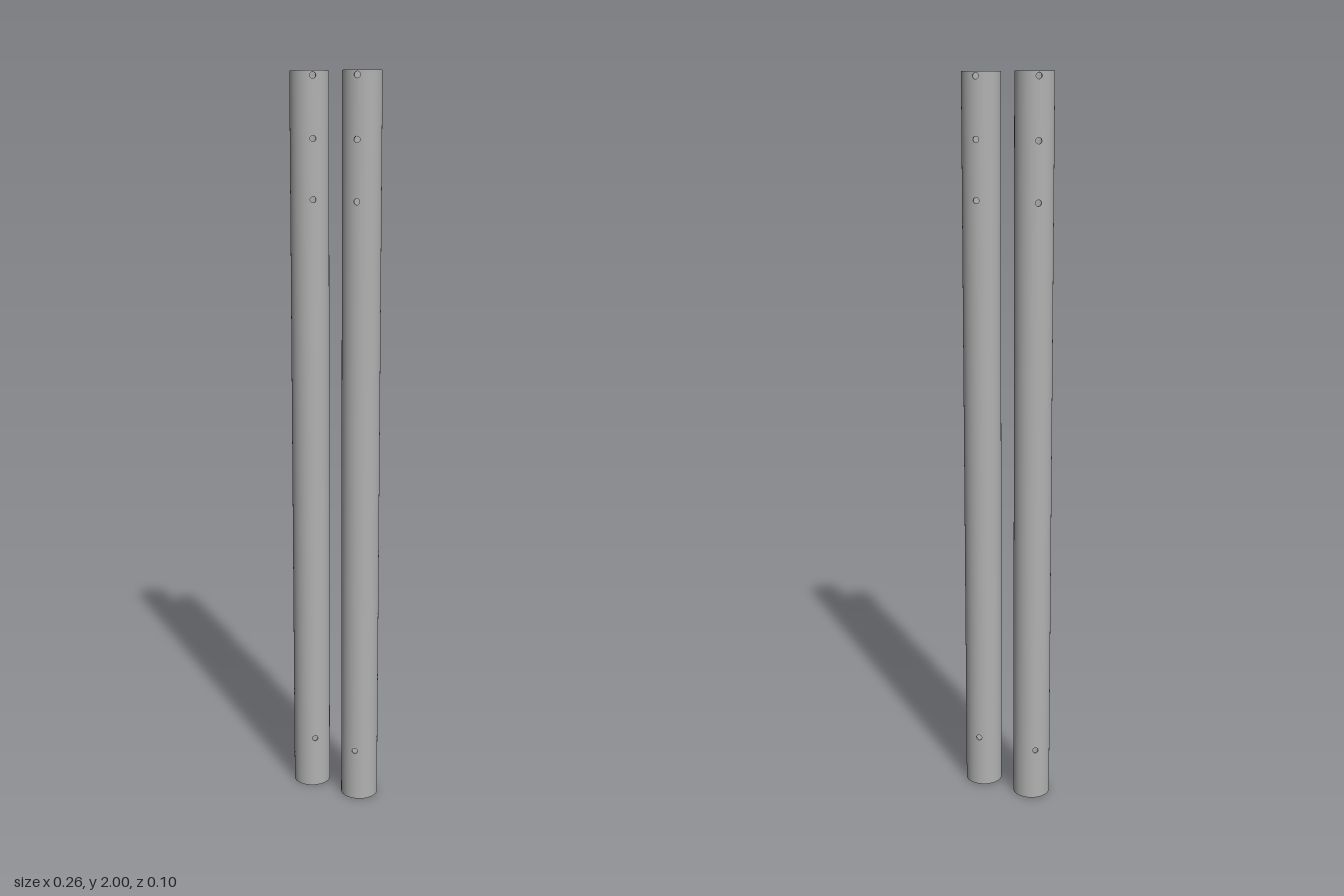
import * as THREE from 'three';
import { mergeGeometries } from 'three/addons/utils/BufferGeometryUtils.js';

const HEIGHT = 2, OUTER = 0.0513, INNER = 0.047, SPACING = 0.079;
const HOLE = 0.008, PATCH = 0.012;               // hole radius, half side of the square patch around it
const HOLE_HEIGHTS = [0.147, 1.675, 1.83, HEIGHT - PATCH];

const flip = (geo) => {
  geo.index.array.reverse();
  return geo;
};

// Wrap a flat piece (x = arc length, y = height, z = radius) around the tube axis
function wrap(geo, turn) {
  const p = geo.attributes.position;
  for (let i = 0; i < p.count; i++) {
    const a = turn + p.getX(i) / OUTER, r = p.getZ(i);
    p.setXYZ(i, Math.sin(a) * r, p.getY(i), Math.cos(a) * r);
  }
  return geo;
}

// Smooth radial normals for the outer (+1) or inner (-1) skin
function skin(geo, turn, radius) {
  wrap(geo.translate(0, 0, radius), turn);
  const p = geo.attributes.position, side = radius === OUTER ? 1 : -1;
  for (let i = 0; i < p.count; i++) {
    geo.attributes.normal.setXYZ(i, side * p.getX(i) / radius, 0, side * p.getZ(i) / radius);
  }
  return side > 0 ? geo : flip(geo);
}

// Square patch with a round hole
function holePatch(y) {
  const geo = new THREE.RingGeometry(HOLE, 2 * PATCH, 32, 1);
  const p = geo.attributes.position;
  const edge = (v) => PATCH * THREE.MathUtils.clamp(Math.asin(THREE.MathUtils.clamp(v, -1, 1)) * 4 / Math.PI, -1, 1);
  for (let i = 33; i < p.count; i++) {
    const a = ((i - 33) / 32) * Math.PI * 2;
    p.setXY(i, edge(Math.cos(a)), edge(Math.sin(a)));
  }
  return geo.translate(0, y, 0);
}

function tubeGeometry(turn) {
  const parts = [];
  const plainWidth = Math.PI * OUTER - 2 * PATCH;
  for (const facing of [turn, turn + Math.PI]) {
    for (const radius of [OUTER, INNER]) {
      // plain wall beside the row of holes
      parts.push(skin(new THREE.PlaneGeometry(plainWidth, HEIGHT, 32, 1).translate(0, HEIGHT / 2, 0),
        facing + Math.PI / 2, radius));
      // row of drilled patches with plain strips between
      let from = 0;
      for (const y of HOLE_HEIGHTS) {
        const to = y - PATCH;
        parts.push(skin(new THREE.PlaneGeometry(2 * PATCH, to - from, 8, 1).translate(0, (from + to) / 2, 0),
          facing, radius));
        parts.push(skin(holePatch(y), facing, radius));
        from = y + PATCH;
      }
    }
    // walls of the drilled holes
    for (const y of HOLE_HEIGHTS) {
      const bore = new THREE.CylinderGeometry(HOLE, HOLE, OUTER - INNER, 32, 1, true)
        .rotateX(Math.PI / 2).translate(0, y, (OUTER + INNER) / 2);
      flip(wrap(bore, facing)).computeVertexNormals();
      parts.push(bore);
    }
  }
  // end rims
  parts.push(new THREE.RingGeometry(INNER, OUTER, 80).rotateX(-Math.PI / 2).translate(0, HEIGHT, 0));
  parts.push(new THREE.RingGeometry(INNER, OUTER, 80).rotateX(Math.PI / 2));
  return mergeGeometries(parts);
}

export function createModel() {
  const group = new THREE.Group();
  group.name = 'drilledTubes';
  const metal = new THREE.MeshStandardMaterial({ color: 0xb2b2b2 });
  metal.name = 'grey metal';

  // each tube is drilled right through at its own angle
  for (const [name, x, degrees] of [['leftTube', SPACING, 15], ['rightTube', -SPACING, 42]]) {
    const tube = new THREE.Mesh(tubeGeometry(THREE.MathUtils.degToRad(degrees)), metal);
    tube.name = name;
    tube.position.x = x;
    group.add(tube);
  }
  return group;
}
